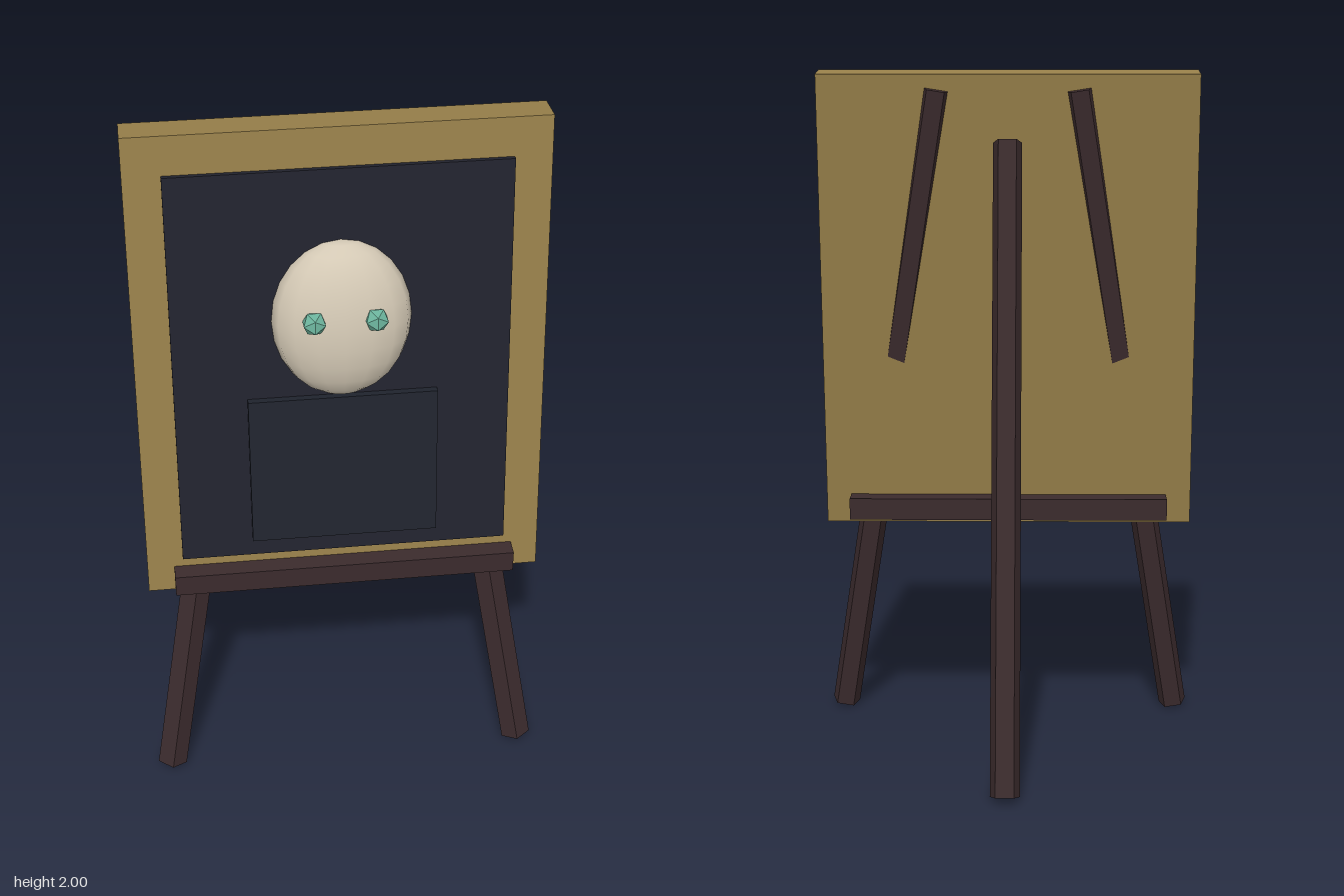
import * as THREE from 'three';

const mat = (name, color, flat = true) =>
  Object.assign(new THREE.MeshStandardMaterial({ color, flatShading: flat }), { name });

export function createModel() {
  const wood = mat('ochre wood', 0x98804a);
  const darkWood = mat('dark brown wood', 0x3b2b2d);
  const canvasDark = mat('midnight canvas', 0x22232e);
  const coat = mat('dark slate', 0x20242e);
  const bone = mat('pale bone', 0xd4c9b5, false);
  const teal = mat('teal', 0x6cb39c);

  const model = new THREE.Group();
  model.name = 'easel';

  const add = (parent, name, geometry, material, x, y, z) => {
    const mesh = new THREE.Mesh(geometry, material);
    mesh.name = name;
    mesh.position.set(x, y, z);
    parent.add(mesh);
    return mesh;
  };

  // Five-sided pole between two points
  const pole = (name, a, b, r = 0.044) => {
    const from = new THREE.Vector3(...a), to = new THREE.Vector3(...b);
    const dir = to.clone().sub(from);
    const mid = from.clone().add(to).multiplyScalar(0.5);
    const mesh = add(model, name, new THREE.CylinderGeometry(r, r, dir.length(), 5), darkWood, mid.x, mid.y, mid.z);
    mesh.quaternion.setFromUnitVectors(new THREE.Vector3(0, 1, 0), dir.normalize());
  };

  // Tripod legs
  for (const s of [-1, 1]) {
    pole(s > 0 ? 'frontLegLeft' : 'frontLegRight', [s * 0.52, 0.012, 0.427], [s * 0.207, 1.945, 0.133]);
  }
  pole('backLeg', [0, 0.013, -0.431], [0, 1.797, 0.081]);

  // Ledge that carries the painting
  add(model, 'ledge', new THREE.BoxGeometry(0.96, 0.065, 0.224), darkWood, 0, 0.6875, 0.312);

  // Painting, leaning back
  const painting = new THREE.Group();
  painting.name = 'painting';
  painting.position.set(0, 1.316, 0.25);
  painting.rotation.x = -0.12;
  model.add(painting);

  add(painting, 'frame', new THREE.BoxGeometry(1.11, 1.366, 0.103), wood, 0, 0, 0);
  add(painting, 'canvas', new THREE.BoxGeometry(0.91, 1.15, 0.03), canvasDark, 0, 0, 0.0515);
  add(painting, 'portraitBody', new THREE.BoxGeometry(0.515, 0.44, 0.044), coat, 0, -0.298, 0.0665);

  // Portrait head and faceted eyes
  const head = add(painting, 'portraitHead', new THREE.SphereGeometry(1, 16, 12), bone, 0, 0.152, 0.0665);
  head.scale.set(0.187, 0.226, 0.1);
  for (const s of [-1, 1]) {
    add(painting, s > 0 ? 'eyeLeft' : 'eyeRight', new THREE.IcosahedronGeometry(0.034, 0), teal, s * 0.082, 0.184, 0.158);
  }

  return model;
}
